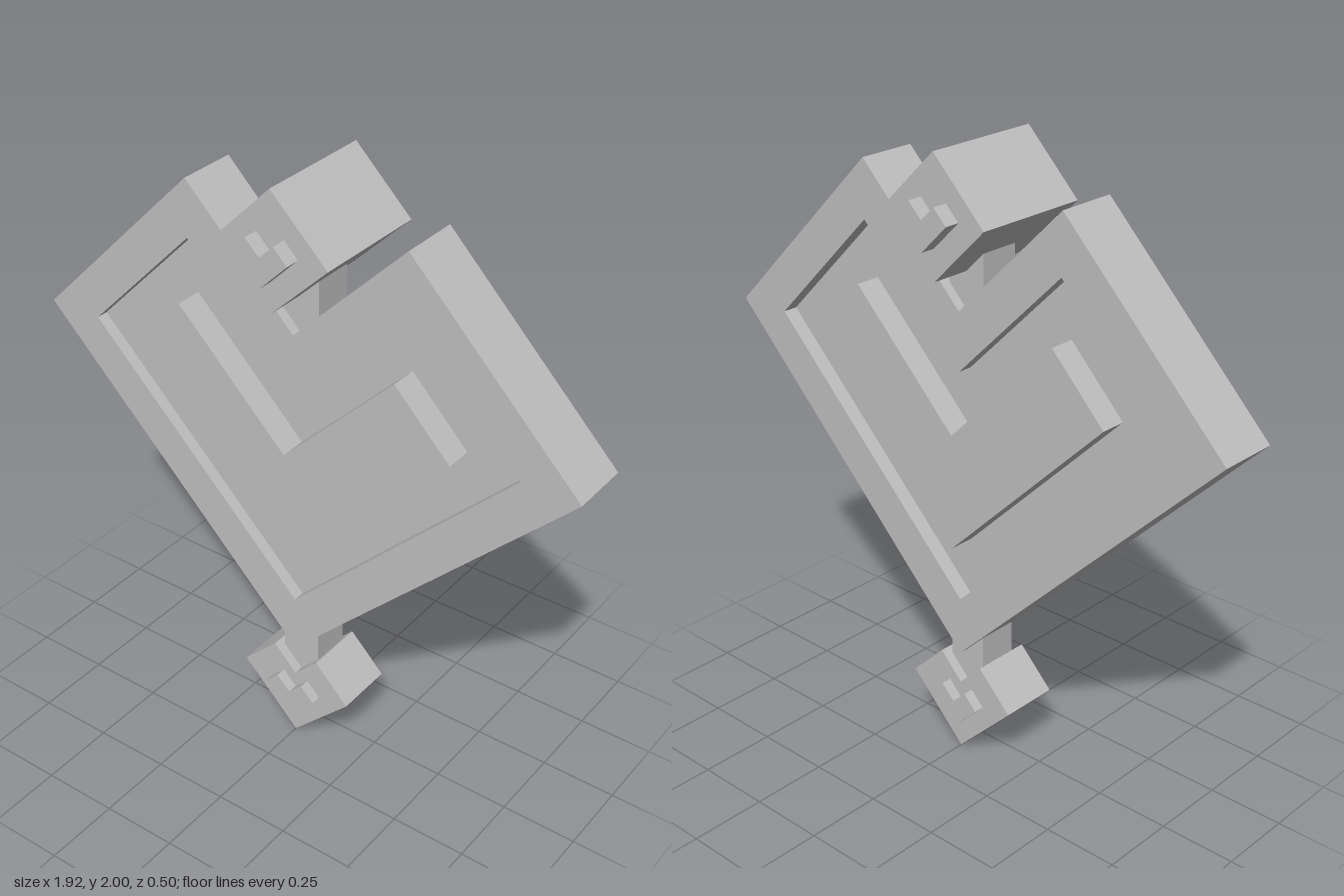
import * as THREE from 'three';

// Angular heart outline: tip y, width corner (w, side y), lobe peak (px, py), notch y
function heartPoints(tip, w, side, px, py, notch) {
  return [[0, tip], [w, side], [px, py], [0, notch], [-px, py], [-w, side]]
    .map(([x, y]) => new THREE.Vector2(x, y));
}

export function createModel() {
  const group = new THREE.Group();
  const grey = new THREE.MeshStandardMaterial({ color: 0xbfbfbf });
  grey.name = 'plain grey';

  const add = (name, geometry) => {
    const mesh = new THREE.Mesh(geometry, grey);
    mesh.name = name;
    group.add(mesh);
    return mesh;
  };

  // Extrude an outline between two z planes, with an optional hole
  const slab = (name, points, back, front, hole) => {
    const shape = new THREE.Shape(points);
    if (hole) shape.holes.push(new THREE.Path(hole));
    const geometry = new THREE.ExtrudeGeometry(shape, { depth: front - back, bevelEnabled: false });
    geometry.translate(0, 0, back);
    return add(name, geometry);
  };

  // Main heart: thick rim, sunken floor on both faces, raised centre
  const rim = heartPoints(0.35, 0.96, 1.31, 0.385, 1.89, 1.505);
  const recess = heartPoints(0.545, 0.77, 1.31, 0.385, 1.7, 1.315);
  slab('heartRim', rim, -0.1, 0.1, recess);
  slab('heartFloor', recess, -0.05, 0.06);
  slab('heartCentre', heartPoints(0.74, 0.575, 1.31, 0.385, 1.505, 1.12), -0.135, 0.15);

  // Posts joining the ornaments to the heart
  for (const [name, bottom, top] of [['topPost', 1.45, 1.75], ['bottomPost', 0.18, 0.43]]) {
    add(name, new THREE.BoxGeometry(0.135, top - bottom, 0.135))
      .position.set(0, (bottom + top) / 2, 0);
  }

  // Diamond block on top with a small raised heart front and back
  const diamond = [[0, 1.62], [0.195, 1.81], [0, 2], [-0.19, 1.81]]
    .map(([x, y]) => new THREE.Vector2(x, y));
  slab('topDiamond', diamond, -0.2, 0.2);
  slab('topSmallHeart', heartPoints(1.72, 0.095, 1.815, 0.048, 1.862, 1.815), -0.25, 0.25);

  // Small hanging heart at the bottom with its own raised heart
  slab('bottomHeart', heartPoints(0, 0.204, 0.204, 0.083, 0.325, 0.242), -0.1, 0.1);
  slab('bottomSmallHeart', heartPoints(0.09, 0.095, 0.185, 0.048, 0.232, 0.185), -0.135, 0.135);

  return group;
}
